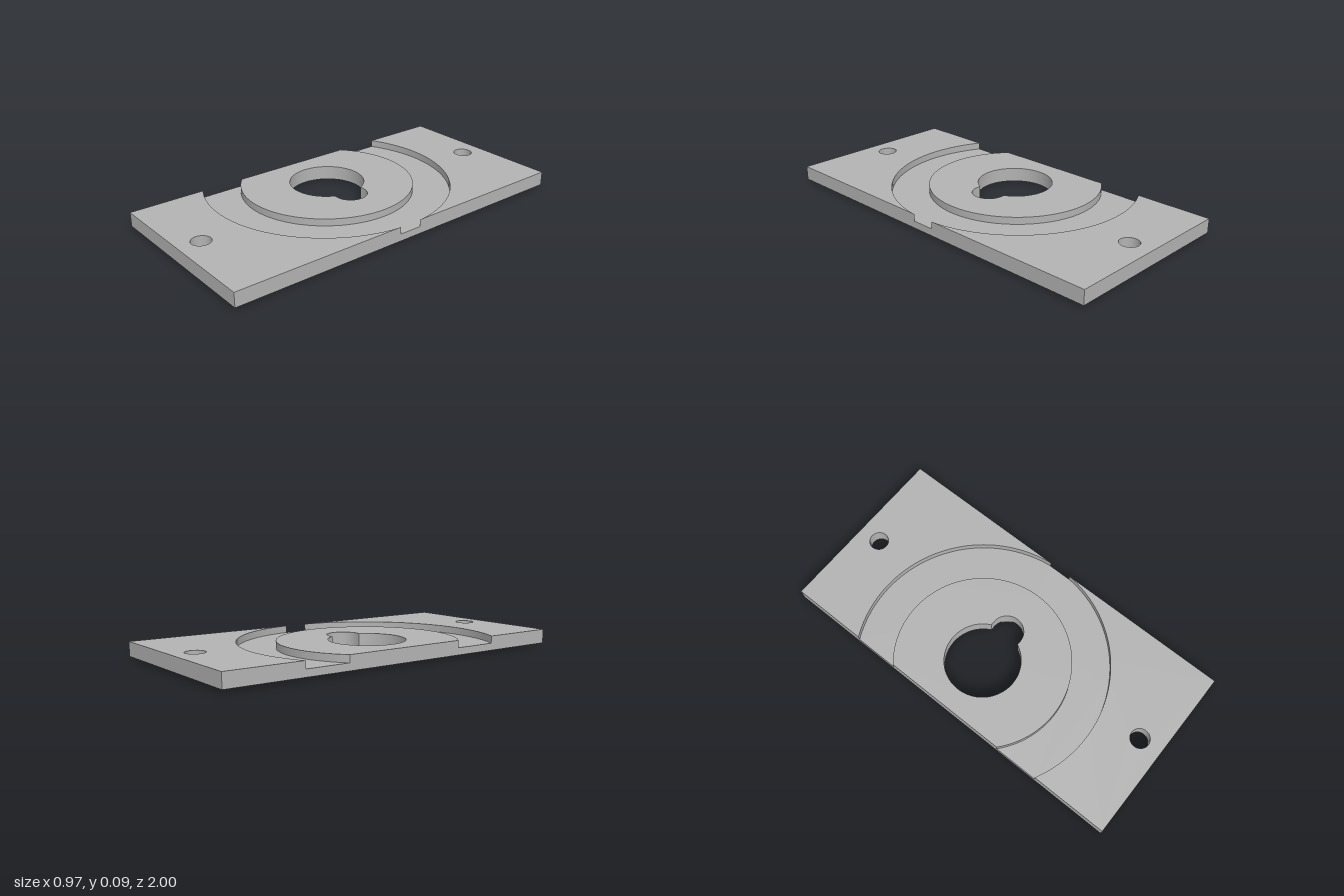
import * as THREE from 'three';
import { toCreasedNormals } from 'three/addons/utils/BufferGeometryUtils.js';

// Plate half width, half length and levels
const W = 0.485, L = 1, BOTTOM = 0.012, FLOOR = 0.05, TOP = 0.088;
// Ring groove and main bore, all centred on x = CX
const CX = -0.175, R_OUT = 0.663, R_IN = 0.464, R_BORE = 0.2;
// Keyhole slot and screw holes
const SLOT_X = 0.027, R_SLOT = 0.088, R_SCREW = 0.051, SCREW_Z = 0.876;

// Angles at which the groove circles meet the side edges
const leftOut = Math.acos((-W - CX) / R_OUT);
const leftIn = Math.acos((-W - CX) / R_IN);
const rightOut = Math.acos((W - CX) / R_OUT);

function screwHole(z) {
  return new THREE.Path().absarc(0, z, R_SCREW, 0, Math.PI * 2, false);
}

function keyhole() {
  const a = Math.asin(R_SLOT / R_BORE);
  const p = new THREE.Path();
  p.absarc(CX, 0, R_BORE, a, Math.PI * 2 - a, false);
  p.absarc(SLOT_X, 0, R_SLOT, -Math.PI / 2, Math.PI / 2, false);
  p.closePath();
  return p;
}

// Extrude a plan shape upward from y0 to y1, leaving out the cap (+1 top, -1 bottom) hidden by a joint
function slab(shape, y0, y1, hiddenCap) {
  const geo = new THREE.ExtrudeGeometry(shape, { depth: y1 - y0, bevelEnabled: false, curveSegments: 64 });
  const pos = geo.attributes.position, nor = geo.attributes.normal, kept = [];
  for (let i = 0; i < pos.count; i += 3) {
    if (nor.getZ(i) * hiddenCap > 0.5) continue;
    for (let k = i; k < i + 3; k++) kept.push(pos.getX(k), pos.getY(k), pos.getZ(k));
  }
  const out = new THREE.BufferGeometry();
  out.setAttribute('position', new THREE.Float32BufferAttribute(kept, 3));
  out.rotateX(-Math.PI / 2).translate(0, y0, 0);
  return toCreasedNormals(out, 0.5);
}

export function createModel() {
  const group = new THREE.Group();
  const grey = new THREE.MeshStandardMaterial({ color: 0xb2b2b2 });
  grey.name = 'plate grey';

  function add(name, geometry) {
    const mesh = new THREE.Mesh(geometry, grey);
    mesh.name = name;
    group.add(mesh);
  }

  // Lower half of the plate, pierced by all holes
  const base = new THREE.Shape();
  base.moveTo(-W, -L).lineTo(W, -L).lineTo(W, L).lineTo(-W, L).closePath();
  base.holes.push(keyhole(), screwHole(SCREW_Z), screwHole(-SCREW_Z));
  add('basePlate', slab(base, BOTTOM, FLOOR, 1));

  // Floor of the ring groove, cut off by both side edges
  const ring = new THREE.Shape();
  ring.absarc(CX, 0, R_OUT, -leftOut, -rightOut, false);
  ring.absarc(CX, 0, R_OUT, rightOut, leftOut, false);
  ring.absarc(CX, 0, R_IN, leftIn, -leftIn, true);
  ring.closePath();
  add('grooveFloor', new THREE.ShapeGeometry(ring, 64).rotateX(-Math.PI / 2).translate(0, FLOOR, 0));

  // Raised disc inside the groove
  const disc = new THREE.Shape();
  disc.absarc(CX, 0, R_IN, -leftIn, leftIn, false);
  disc.closePath();
  disc.holes.push(keyhole());
  add('raisedDisc', slab(disc, FLOOR, TOP, -1));

  for (const s of [1, -1]) {
    const side = s > 0 ? 'Back' : 'Front';

    // Raised end of the plate outside the groove
    const end = new THREE.Shape();
    end.moveTo(W, s * L).lineTo(-W, s * L);
    end.absarc(CX, 0, R_OUT, s * leftOut, s * rightOut, s > 0);
    end.closePath();
    end.holes.push(screwHole(s * SCREW_Z));
    add('raisedEnd' + side, slab(end, FLOOR, TOP, -1));

    // Thin pad under the plate, its inner corner cut by the slot
    const pad = new THREE.Shape();
    pad.moveTo(0.077, s * 0.127).lineTo(0.263, s * 0.127).lineTo(0.263, s * 0.035);
    pad.absarc(SLOT_X, 0, R_SLOT, s * Math.asin(0.035 / R_SLOT), s * Math.acos(0.05 / R_SLOT), s < 0);
    pad.closePath();
    add('underPad' + side, slab(pad, 0, BOTTOM, 1));
  }

  return group;
}
